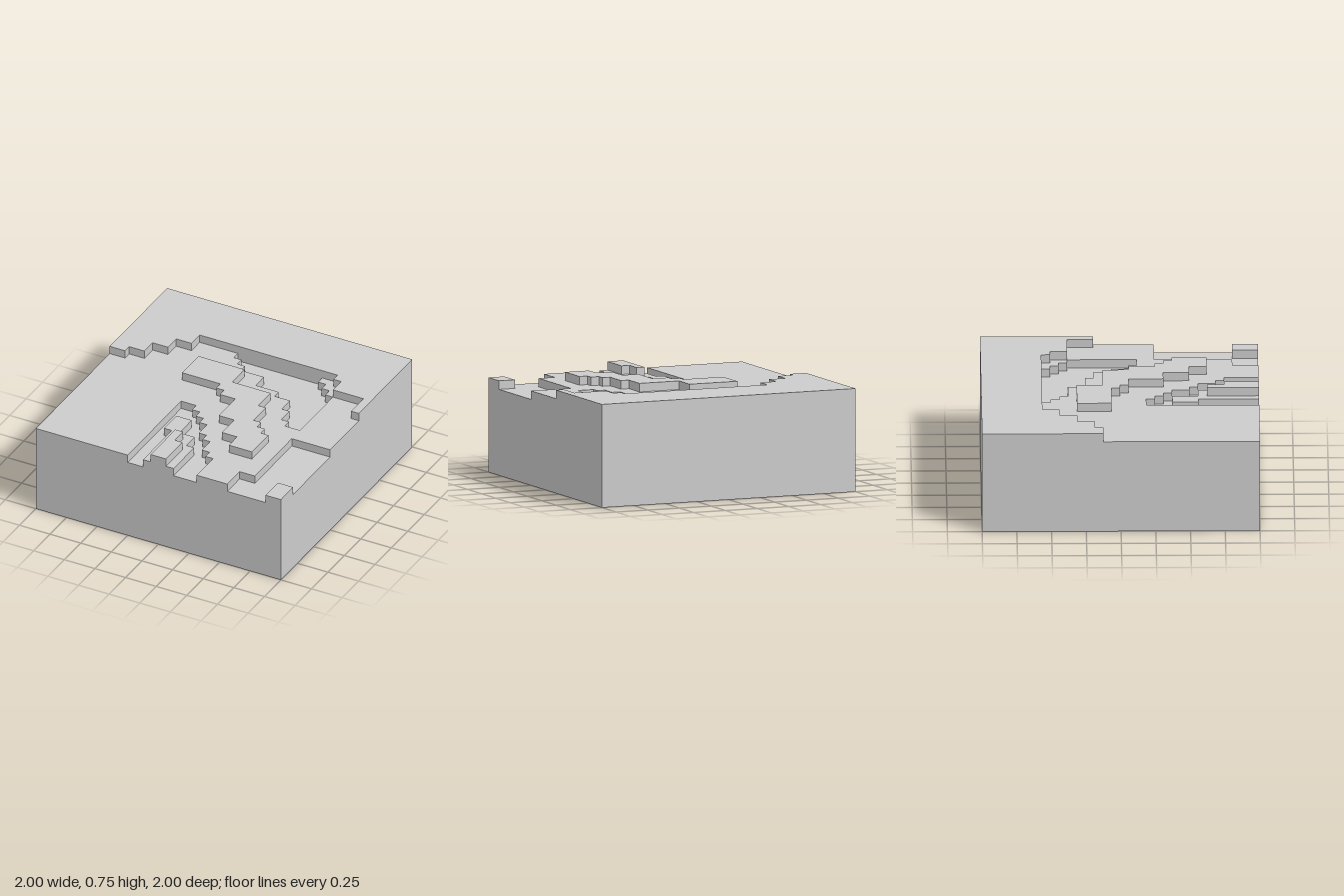
import * as THREE from 'three';

const CELL = 1 / 16; // the terrain is 32 x 32 cells, one cell is also one terrace step

// Stepped outline from alternating coordinates x0, z0, x1, z1, ... in cells:
// walks along x, then along z, and closes on the first x.
function stepped(coords) {
  const points = [];
  for (let i = 0; i < coords.length; i += 2) {
    const z = coords[i + 1] * CELL;
    points.push(new THREE.Vector2(coords[i] * CELL, z));
    points.push(new THREE.Vector2(coords[(i + 2) % coords.length] * CELL, z));
  }
  return points;
}

export function createModel() {
  const group = new THREE.Group();
  const material = new THREE.MeshStandardMaterial({ color: 0xcccccc, flatShading: true });

  // Slab with a stepped outline between two heights (in cells)
  function slab(name, bottom, top, outline, holes = []) {
    const shape = new THREE.Shape(stepped(outline));
    holes.forEach((h) => shape.holes.push(new THREE.Path(stepped(h))));
    const geometry = new THREE.ExtrudeGeometry(shape, {
      depth: (top - bottom) * CELL,
      bevelEnabled: false,
    });
    geometry.rotateX(Math.PI / 2).translate(0, top * CELL, 0);
    const mesh = new THREE.Mesh(geometry, material);
    mesh.name = name;
    group.add(mesh);
  }

  // Ground block whose top is the floor of the hollows
  slab('groundBlock', 0, 10, [-16, -16, 16, 16]);

  // Middle terrace: open hollows at the front and right, closed hollow at the back
  const backHollow = [-3, -9, 8, -8, 9, -7, 10, -6, 11, 2, 9, 1, 8, -1, 7, -3, 5, -4, 2, -6, -1, -7, -2, -8];
  slab('middleTerrace', 10, 11,
    [-16, -16, 16, 4, 11, 13, 9, 16, 5, 12, 4, 11, 3, 9, 2, 8, 1, 6, 0, 5, -1, 4, -2, 3, -4, 16],
    [backHollow]);

  // Raised pieces standing in the front hollows
  slab('hollowIsland', 10, 11, [-3, 6, -1, 9, 1, 11, 2, 16, -2, 9]);
  slab('cornerBlock', 10, 11, [14, 13, 16, 16]);

  // Top level
  slab('backTerrace', 11, 12,
    [-16, -16, 16, -3, 15, -6, 11, -8, 10, -9, -8, -7, -10, -5, -12, -3, -14, -2]);
  slab('centralRidge', 11, 12,
    [-6, -5, 0, -2, 5, 1, 6, 4, 7, 5, 8, 6, 9, 10, 6, 8, 4, 5, 2, 1, 0, 0, -1, -1]);
  slab('islandRidge', 11, 12, [-1, 10, 0, 12, 1, 16]);

  return group;
}
